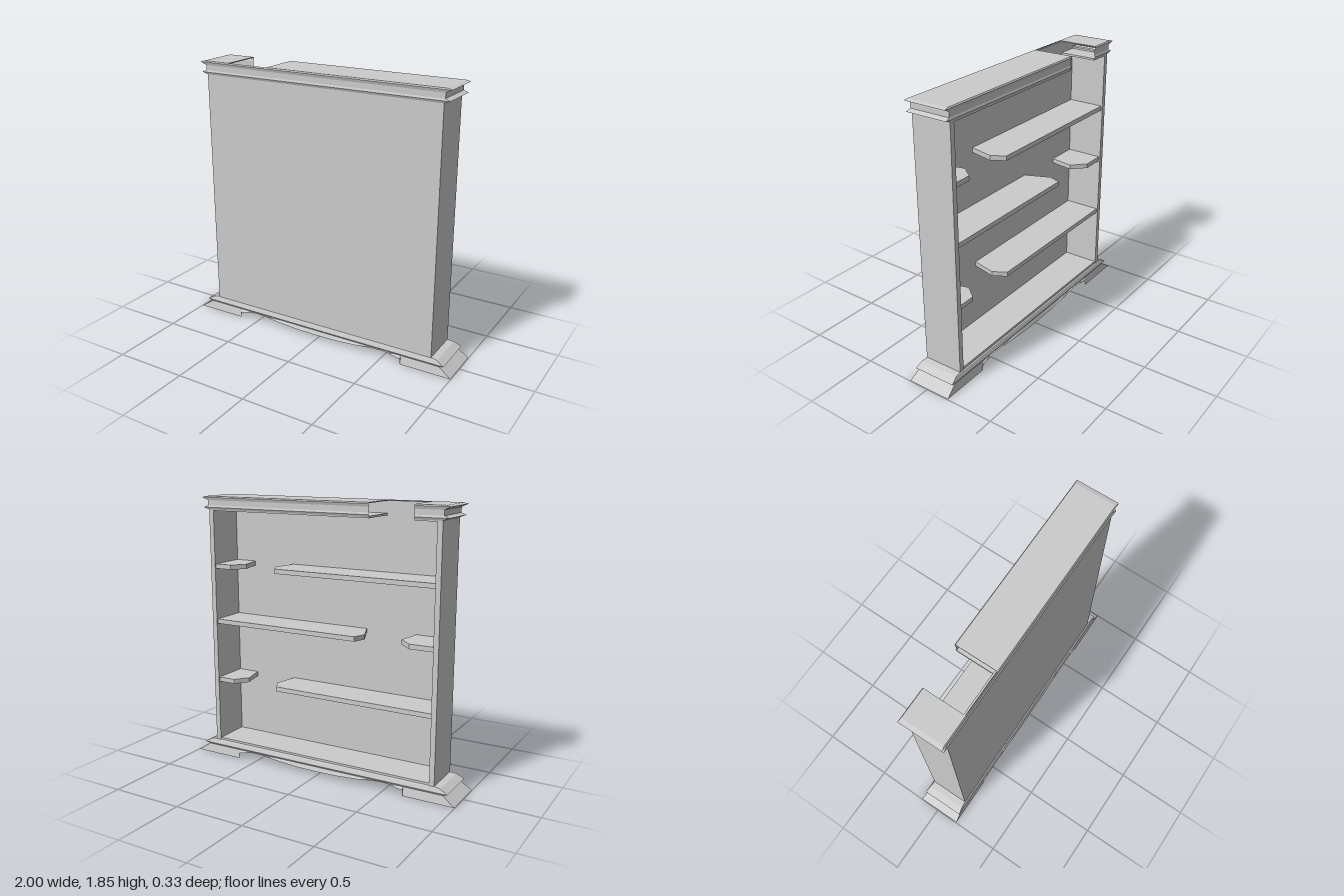
import * as THREE from 'three';

const mat = new THREE.MeshStandardMaterial({ color: 0xcccccc, flatShading: true, side: THREE.DoubleSide });

function add(group, name, geometry) {
  const mesh = new THREE.Mesh(geometry, mat);
  mesh.name = name;
  group.add(mesh);
  return mesh;
}

// Box given by its lower and upper limits
function box(group, name, x0, x1, y0, y1, z0, z1) {
  const mesh = add(group, name, new THREE.BoxGeometry(x1 - x0, y1 - y0, z1 - z0));
  mesh.position.set((x0 + x1) / 2, (y0 + y1) / 2, (z0 + z1) / 2);
}

// Sweep rings along a plan path; point(ring, station) returns [x, y, z]
function sweep(rings, stations, closed, point) {
  const pos = [], idx = [], n = stations.length;
  for (const r of rings) for (const s of stations) pos.push(...point(r, s));
  for (let i = 0; i < rings.length - 1; i++) {
    for (let j = 0; j < (closed ? n : n - 1); j++) {
      const a = i * n + j, b = i * n + (j + 1) % n;
      idx.push(a, b, a + n, b, b + n, a + n);
    }
  }
  const g = new THREE.BufferGeometry();
  g.setAttribute('position', new THREE.Float32BufferAttribute(pos, 3));
  g.setIndex(idx);
  g.computeVertexNormals();
  return g;
}

// Shelf board fixed to one side (+1 left, -1 right); end = x at back, elbow and front
function shelf(group, name, side, top, [back, elbow, front]) {
  const s = new THREE.Shape();
  s.moveTo(side * 0.82, 0.128);
  s.lineTo(back, 0.128);
  s.lineTo(elbow, -0.04);
  s.lineTo(front, -0.128);
  s.lineTo(side * 0.82, -0.128);
  s.closePath();
  const g = new THREE.ExtrudeGeometry(s, { depth: 0.032, bevelEnabled: false });
  g.rotateX(Math.PI / 2);
  g.translate(0, top, 0);
  add(group, name, g);
}

export function createModel() {
  const model = new THREE.Group();
  model.name = 'bookcase';
  const body = new THREE.Group();
  body.name = 'bookcaseBody';
  body.rotation.y = 0.011;
  model.add(body);

  // Carcass, closed towards +z and open towards -z
  const D = 0.137, gap0 = -0.67, gap1 = -0.37;
  box(body, 'leftSide', 0.815, 0.85, 0.08, 1.78, -D, D);
  box(body, 'rightSide', -0.85, -0.815, 0.08, 1.78, -D, D);
  box(body, 'panel', -0.848, 0.848, 0.08, 1.848, 0.125, D);
  box(body, 'floorBoard', -0.82, 0.82, 0.075, 0.118, -0.132, 0.13);

  // Shelves on three levels, each long shelf facing a short one
  for (const top of [1.39, 0.575]) {
    shelf(body, 'longShelf', -1, top, [0.34, 0.38, 0.33]);
    shelf(body, 'shortShelf', 1, top, [0.66, 0.62, 0.69]);
  }
  shelf(body, 'longShelf', 1, 1.0, [-0.23, -0.30, -0.27]);
  shelf(body, 'shortShelf', -1, 1.0, [-0.59, -0.56, -0.65]);

  // Cornice moulding, interrupted on the open side by the gap; rings are [halfX, halfZ, y]
  const cornice = [
    [0.85, 0.137, 1.762], [0.89, 0.144, 1.777], [0.858, 0.139, 1.79],
    [0.858, 0.139, 1.825], [0.90, 0.146, 1.844], [0.87, 0.14, 1.852],
  ];
  const path = [[gap1, -1, 0], [1, -1, 1], [1, 1, 1], [-1, 1, 1], [-1, -1, 1], [gap0, -1, 0]];
  add(body, 'cornice', sweep(cornice, path, false,
    ([hx, hz, y], [x, z, corner]) => [corner ? x * hx : x, y, z * hz]));

  // Top and ceiling boards on both sides of the gap
  for (const [x0, x1] of [[-1, gap0], [gap1, 1]]) {
    const lim = (h) => [Math.max(x0, -h), Math.min(x1, h)];
    box(body, 'topBoard', ...lim(0.87), 1.846, 1.852, -0.14, 0.14);
    box(body, 'ceilingBoard', ...lim(0.85), 1.755, 1.768, -D, D);
  }

  // Plinth with flared feet and a curved apron; half apron as [x, lower edge]
  const half = [[0.642, 0], [0.638, 0.038], [0.6, 0.045], [0.55, 0.058], [0.5, 0.062],
    [0.43, 0.058], [0.32, 0.045], [0.16, 0.033]];
  const apron = [...half, [0, 0.03], ...half.map(([x, y]) => [-x, y]).reverse()];
  const plinthPath = [[1, 1, 1, 0]];
  for (const [x, y] of apron) plinthPath.push([x, 1, 0, y]);
  plinthPath.push([-1, 1, 1, 0], [-1, -1, 1, 0]);
  for (const [x, y] of [...apron].reverse()) plinthPath.push([x, -1, 0, y]);
  plinthPath.push([1, -1, 1, 0]);
  const plinth = [
    [0.845, 0.135, 0.105], [0.895, 0.141, 0.099], [0.945, 0.15, 0.071],
    [0.91, 0.144, 0.06], [0.997, 0.155, 0],
  ];
  add(body, 'plinth', sweep([...plinth].reverse(), plinthPath, true,
    ([hx, hz, y], [x, z, corner, low]) => [corner ? x * hx : x, Math.max(y, low), z * hz]));

  return model;
}
